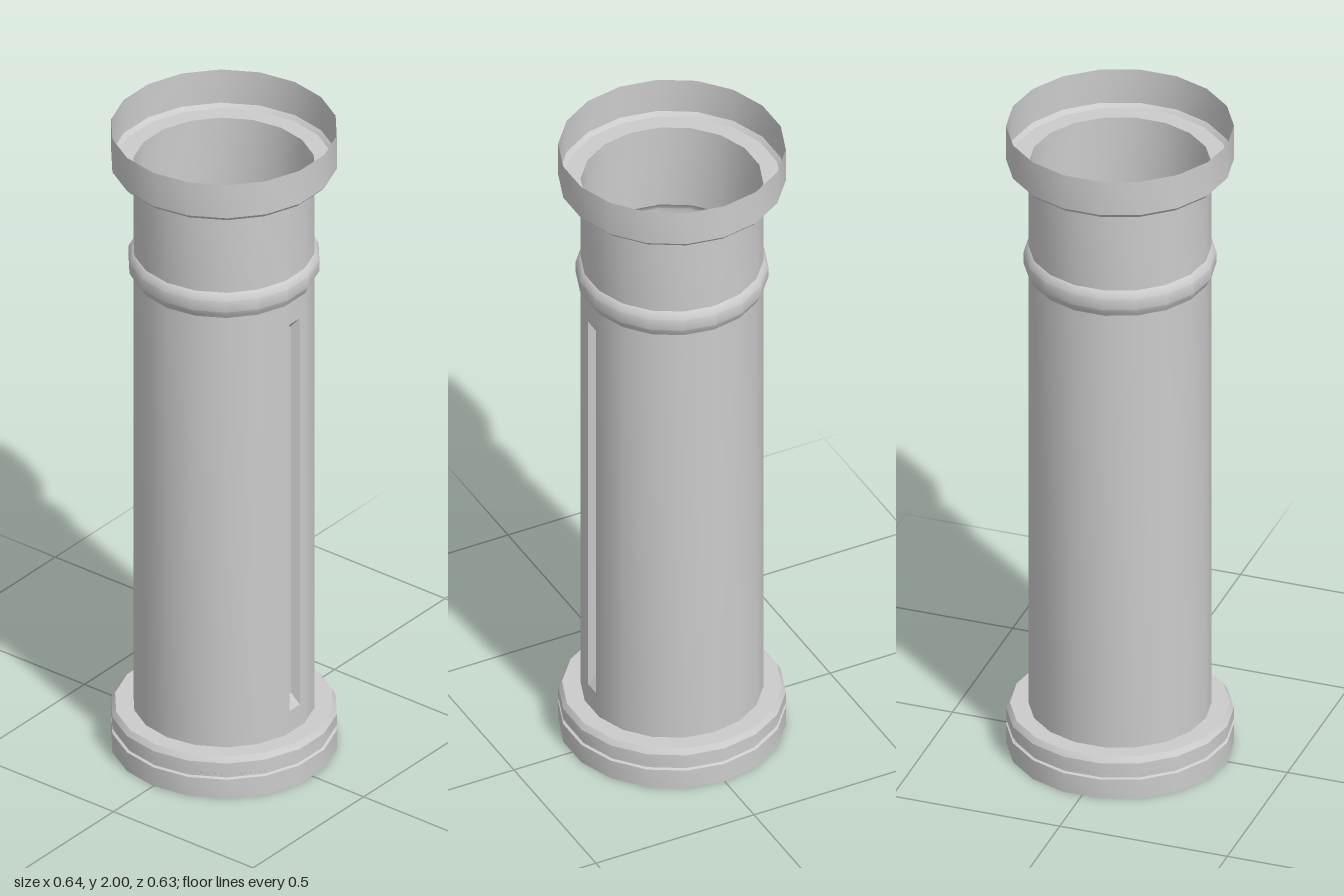
import * as THREE from 'three';
import { mergeGeometries, toCreasedNormals } from 'three/addons/utils/BufferGeometryUtils.js';

const SIDES = 18;
const STEP = (Math.PI * 2) / SIDES;
const R = 0.257;            // pipe radius
const LOW = 0.13, MID = 1.53, NECK = 1.88;
const material = new THREE.MeshStandardMaterial({ color: 0xcccccc, side: THREE.DoubleSide });

// Revolve [radius, y] points; the missing sides, if any, are centred on the front
function revolve(points, sides = SIDES) {
  const profile = points.map(([r, y]) => new THREE.Vector2(r, y));
  return new THREE.LatheGeometry(profile, sides, STEP / 2, sides * STEP);
}

function part(name, geometry) {
  const mesh = new THREE.Mesh(toCreasedNormals(geometry, THREE.MathUtils.degToRad(30)), material);
  mesh.name = name;
  return mesh;
}

// Corners of an upright rectangle, counter-clockwise from the front
function rectangle(halfWidth, bottom, top, z) {
  return [[-halfWidth, bottom, z], [halfWidth, bottom, z], [halfWidth, top, z], [-halfWidth, top, z]];
}

export function createModel() {
  const model = new THREE.Group();
  model.name = 'pipe';

  const frontZ = R * Math.cos(STEP / 2);
  const slotRim = rectangle(0.023, 0.2, 1.46, frontZ);
  const slotFloor = rectangle(0.013, 0.235, 1.43, 0.23);

  // Main pipe: all sides but the front, plus a front side pierced for the slot
  const toVectors = (corners) => corners.map(([x, y]) => new THREE.Vector2(x, y));
  const frontShape = new THREE.Shape(toVectors(rectangle(R * Math.sin(STEP / 2), LOW, MID, 0)));
  frontShape.holes.push(new THREE.Path(toVectors(slotRim)));
  const frontSide = new THREE.ShapeGeometry(frontShape).translate(0, 0, frontZ);
  model.add(part('pipeBody', mergeGeometries([revolve([[R, LOW], [R, MID]], SIDES - 1), frontSide])));

  // Recessed slot with sloping walls
  const slot = new THREE.BufferGeometry();
  slot.setAttribute('position', new THREE.Float32BufferAttribute([...slotRim, ...slotFloor].flat(), 3));
  const index = [4, 5, 6, 4, 6, 7];
  for (let k = 0; k < 4; k++) {
    const n = (k + 1) % 4;
    index.push(k, n, n + 4, k, n + 4, k + 4);
  }
  slot.setIndex(index);
  model.add(part('slotRecess', slot));

  // Raised bead and the neck above it
  model.add(part('beadAndNeck', revolve([
    [R, MID], [0.262, 1.54], [0.271, 1.556], [0.271, 1.59], [0.262, 1.608], [R, 1.612], [R, NECK],
  ])));

  // Open socket at the top
  model.add(part('topSocket', revolve([[R, NECK], [0.309, NECK], [0.32, 1.892], [0.32, 2]])));

  // Grooved open collar at the foot
  model.add(part('bottomCollar', revolve([
    [0.32, 0], [0.32, 0.061], [0.312, 0.064], [0.312, 0.073], [0.32, 0.078],
    [0.32, 0.114], [0.309, LOW], [R, LOW],
  ])));

  return model;
}
